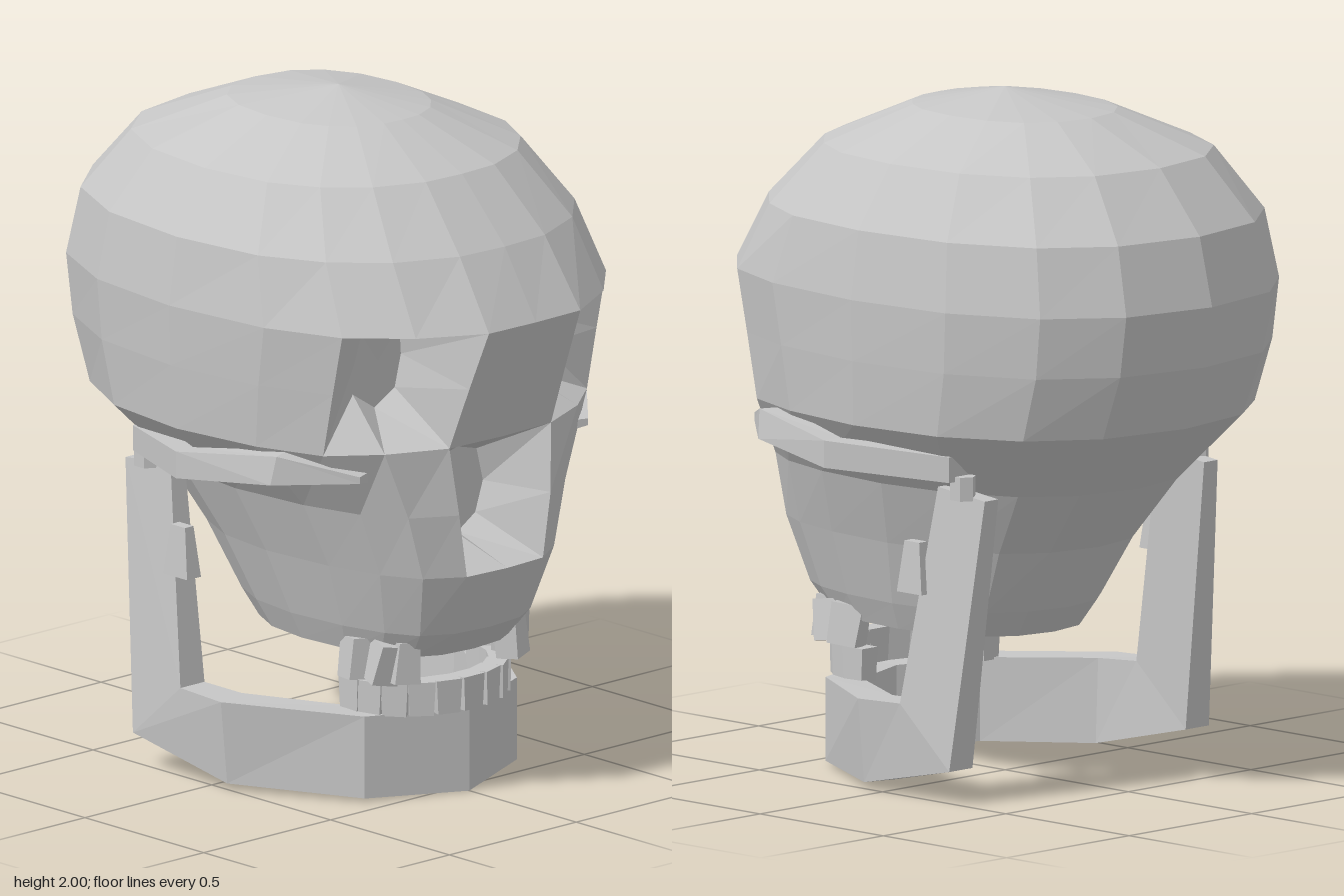
import * as THREE from 'three';

const bone = new THREE.MeshStandardMaterial({ color: 0xc6c6c6, flatShading: true, side: THREE.DoubleSide });
bone.name = 'bone';

// Collects triangles and turns them into a faceted mesh
class Facets {
  constructor() { this.p = []; }
  tri(a, b, c) { this.p.push(...a, ...b, ...c); }
  quad(a, b, c, d) { this.tri(a, b, c); this.tri(a, c, d); }
  mesh(name) {
    const g = new THREE.BufferGeometry();
    g.setAttribute('position', new THREE.Float32BufferAttribute(this.p, 3));
    g.computeVertexNormals();
    return named(g, name);
  }
}

function named(geometry, name) {
  const m = new THREE.Mesh(geometry, bone);
  m.name = name;
  return m;
}

// Half outlines from front to back, as fractions of half width and depth
const DOME = [[0, 1], [.27, .985], [.57, .87], [.79, .68], [.94, .42], [1, 0], [.94, -.42], [.75, -.74], [.45, -.93], [0, -1]];
const FACE = [[0, 1], [.4, .97], [.68, .87], [.84, .68], [.95, .4], [1, 0], [.93, -.42], [.74, -.74], [.44, -.93], [0, -1]];

// Mirrored ring; "front" replaces the first outline points where given
function ring(plan, y, hw, zf, zb, cz, front = []) {
  const half = plan.map(([x, z], i) => front[i]
    ? [front[i][0], y, front[i][1]]
    : [x * hw, y, cz + z * (z > 0 ? zf - cz : cz - zb)]);
  return half.concat(half.slice(1, -1).reverse().map(flip));
}
const flip = ([x, y, z]) => [-x, y, z];

// Tapered hollow from a rim (clockwise from the front) to a closed inner outline
function hollow(f, rim, hole) {
  const n = rim.length;
  const c = [0, 1, 2].map(k => hole.reduce((s, h) => s + h[k], 0) / n);
  for (let i = 0; i < n; i++) {
    const j = (i + 1) % n;
    f.quad(rim[i], hole[i], hole[j], rim[j]);
    f.tri(c, hole[j], hole[i]);
  }
}

function skull() {
  const f = new Facets();
  const rows = [
    ring(FACE, .43, .285, .57, -.2, .15),
    ring(FACE, .51, .32, .64, -.26, .14),
    ring(FACE, .70, .38, .71, -.38, .1, [[0, .71], [.15, .70]]),
    ring(FACE, .89, .455, .71, -.54, .05, [[0, .71], [.18, .70]]),
    ring(DOME, 1.09, .63, .69, -.73, -.01, [[0, .69], [.2, .68], [.38, .6], [.52, .49]]),
    ring(DOME, 1.28, .643, .76, -.81, -.02, [[0, .76], [.19, .753], [.375, .66], [.52, .53]]),
    ring(DOME, 1.46, .65, .83, -.84, -.02, [[0, .83], [.18, .825], [.37, .72], [.52, .57]]),
    ring(DOME, 1.66, .62, .70, -.79, -.02),
    ring(DOME, 1.84, .5, .52, -.63, -.03),
    ring(DOME, 1.95, .255, .27, -.35, -.03),
  ];
  const n = rows[0].length;
  const eyeColumns = [1, 2, n - 3, n - 2], noseColumns = [0, n - 1];
  for (let r = 0; r < rows.length - 1; r++) {
    for (let j = 0; j < n; j++) {
      if ((r === 4 || r === 5) && eyeColumns.includes(j)) continue;
      if ((r === 2 || r === 3) && noseColumns.includes(j)) continue;
      const k = (j + 1) % n;
      f.quad(rows[r][j], rows[r][k], rows[r + 1][k], rows[r + 1][j]);
    }
  }
  // Crown and flat base
  const top = rows[rows.length - 1];
  for (let j = 0; j < n; j++) {
    const k = (j + 1) % n;
    f.tri(top[j], top[k], [0, 2, 0]);
    f.tri(rows[0][k], rows[0][j], [0, .43, .15]);
  }
  // Eye sockets
  const [low, mid, brow] = [rows[4], rows[5], rows[6]];
  const rim = [brow[1], brow[2], brow[3], mid[3], low[3], low[2], low[1], mid[1]];
  const hole = [[.21, 1.42, .48], [.28, 1.455, .49], [.36, 1.42, .48], [.38, 1.33, .47],
    [.375, 1.24, .46], [.29, 1.185, .46], [.21, 1.23, .46], [.195, 1.33, .47]];
  hollow(f, rim, hole);
  hollow(f, rim.map(flip).reverse(), hole.map(flip).reverse());
  // Nose opening
  const noseRim = [rows[4][0], rows[4][1], rows[3][1], rows[2][1], rows[2][0]];
  const noseHole = [[0, 1.02, .5], [.075, 1.0, .5], [.1, .9, .5], [.07, .81, .5], [0, .765, .5]];
  const close = a => a.concat(a.slice(1, -1).reverse().map(flip));
  hollow(f, close(noseRim), close(noseHole));
  return f.mesh('skull');
}

// Four-sided bar through sections of [outer bottom, outer top, inner top, inner bottom]
function bar(sections, name) {
  const f = new Facets();
  for (let i = 0; i < sections.length - 1; i++) {
    const a = sections[i], b = sections[i + 1];
    for (let k = 0; k < 4; k++) f.quad(a[k], b[k], b[(k + 1) % 4], a[(k + 1) % 4]);
  }
  const [s, e] = [sections[0], sections[sections.length - 1]];
  f.quad(s[0], s[1], s[2], s[3]);
  f.quad(e[0], e[3], e[2], e[1]);
  return f.mesh(name);
}

function jaw() {
  const half = [
    [[0, 0, .55], [0, .25, .55], [0, .25, .44], [0, 0, .44]],
    [[.3, .01, .43], [.3, .255, .43], [.24, .255, .34], [.24, .01, .34]],
    [[.505, .02, .07], [.53, .268, .07], [.42, .268, .04], [.41, .02, .04]],
    [[.53, .1, -.3], [.53, .275, -.1], [.435, .275, -.1], [.435, .1, -.3]],
    [[.475, .895, -.39], [.475, .915, -.2], [.42, .915, -.2], [.42, .895, -.39]],
  ];
  // Mirrored sections run from the far end of one branch to the other
  const other = half.slice(1).reverse().map(s => s.map(flip));
  return bar(other.concat(half), 'lowerJaw');
}

// Box narrowed towards the top
function taperedBox(w, h, d, topX, topZ) {
  const g = new THREE.BoxGeometry(w, h, d);
  const p = g.attributes.position;
  for (let i = 0; i < p.count; i++) {
    if (p.getY(i) > 0) p.setXYZ(i, p.getX(i) * topX, p.getY(i), p.getZ(i) * topZ);
  }
  return g;
}

function sideParts(side) {
  const group = new THREE.Group();
  group.name = side > 0 ? 'leftSide' : 'rightSide';

  // Cheek arch
  group.add(bar([
    [[.45, 1.01, .57], [.45, 1.03, .57], [.40, 1.03, .55], [.40, 1.0, .55]],
    [[.625, 1.0, .38], [.61, 1.085, .39], [.54, 1.085, .36], [.55, 1.0, .35]],
    [[.688, .965, .05], [.688, 1.045, .05], [.62, 1.045, .05], [.62, .965, .05]],
    [[.53, .945, -.3], [.53, 1.02, -.3], [.44, 1.02, -.3], [.44, .945, -.3]],
  ], 'cheekArch'));

  // Jaw hinge
  const hinge = named(new THREE.CylinderGeometry(.03, .03, .07, 6), 'jawHinge');
  hinge.geometry.scale(1.2, 1, 1.4);
  hinge.position.set(.475, .925, -.3);
  group.add(hinge);

  // Spur beside the jaw branch
  const spur = named(taperedBox(.055, .15, .1, .6, .6), 'jawSpur');
  spur.position.set(.495, .675, -.13);
  group.add(spur);

  // Upper back teeth
  [[.215, .52, .07, -.1], [.255, .475, .08, .12], [.275, .385, .09, -.12]].forEach(([x, z, d, tilt]) => {
    const tooth = named(taperedBox(.08, .12, d, .8, 1.1), 'upperTooth');
    tooth.position.set(x - .005, .415, z - .02);
    tooth.rotation.set(tilt, .35, .12);
    group.add(tooth);
  });

  group.scale.x = side;
  return group;
}

// Lower teeth set around an arc
function lowerTeeth() {
  const group = new THREE.Group();
  group.name = 'lowerTeeth';
  const count = 11;
  for (let i = 0; i < count; i++) {
    const a = (i / (count - 1) - .5) * Math.PI;
    const tooth = named(taperedBox(.07, .1, .06, 1.15, 1.05), 'lowerTooth');
    tooth.position.set(.25 * Math.sin(a), .3, .34 + .2 * Math.cos(a));
    tooth.rotation.y = a;
    group.add(tooth);
  }
  return group;
}

export function createModel() {
  const model = new THREE.Group();
  model.name = 'skullModel';
  model.add(skull(), jaw(), lowerTeeth(), sideParts(1), sideParts(-1));
  return model;
}
